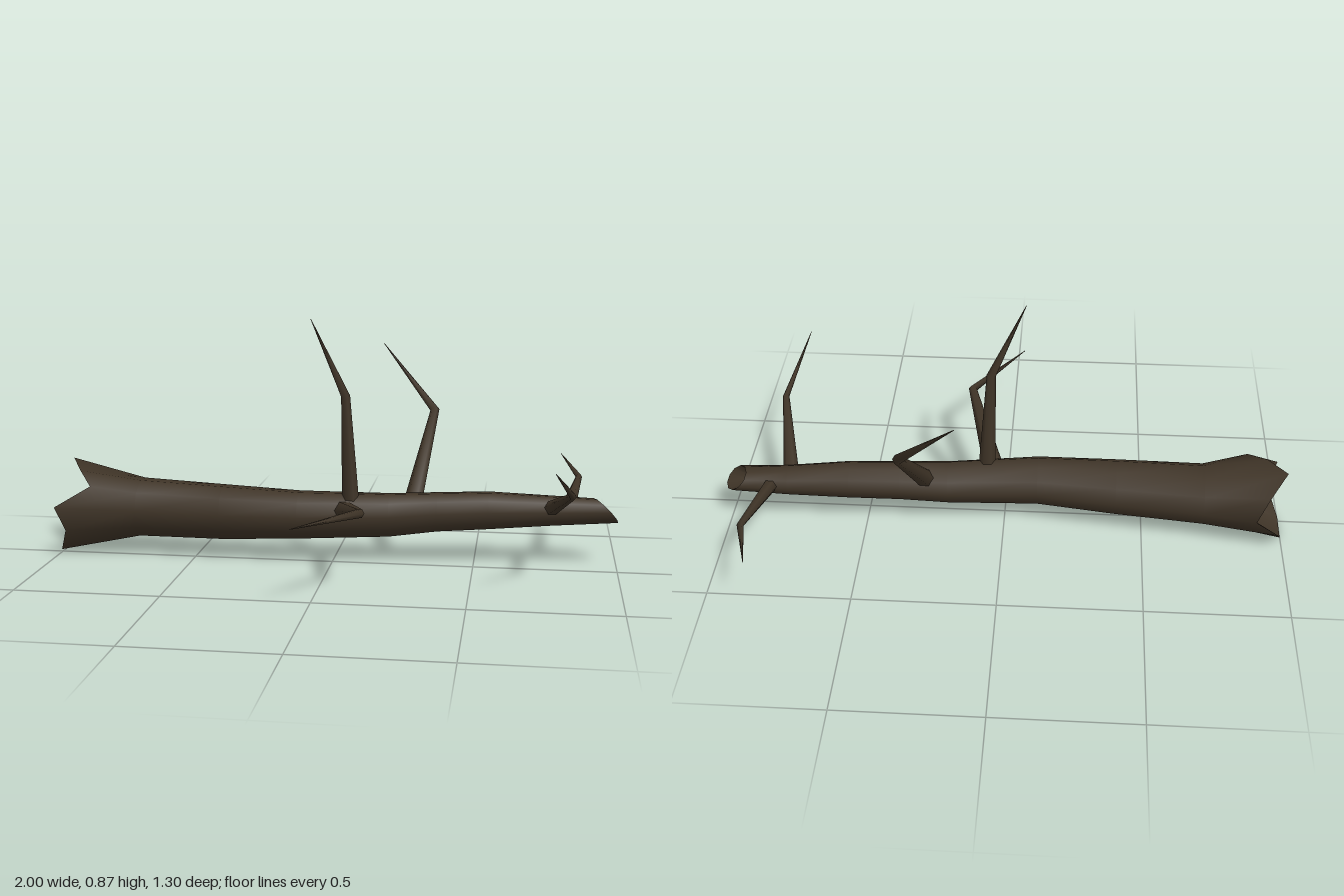
import * as THREE from 'three';

const SIDES = 10;
const V = (x, y, z) => new THREE.Vector3(x, y, z);
const trunkAngle = (k) => THREE.MathUtils.degToRad(112 - 36 * k);

// Skin a list of rings (equal point counts) with smooth normals
function loft(rings) {
  const n = rings[0].length;
  const index = [];
  for (let i = 0; i < rings.length - 1; i++) {
    for (let j = 0; j < n; j++) {
      const a = i * n + j, b = i * n + (j + 1) % n;
      index.push(a, b, a + n, b, b + n, a + n);
    }
  }
  const geo = new THREE.BufferGeometry().setFromPoints(rings.flat());
  geo.setIndex(index);
  geo.computeVertexNormals();
  return geo;
}

// Trunk cross-section in the yz plane; slant moves each point along x
function trunkRing(x, y, z, ry, rz, slant = () => 0) {
  return Array.from({ length: SIDES }, (_, k) => {
    const a = trunkAngle(k);
    return V(x + slant(a), y + ry * Math.sin(a), z + rz * Math.cos(a));
  });
}

// Two-segment tapering branch: base, bend, pointed tip
function branchGeometry(base, bend, tip, r0, r1) {
  const points = [base, bend, tip];
  const radii = [r0, r1, 0.001];
  const rings = points.map((p, i) => {
    const dir = points[Math.min(i + 1, 2)].clone().sub(points[Math.max(i - 1, 0)]).normalize();
    const u = V(1, 0, 0).addScaledVector(dir, -dir.x).normalize();
    const v = dir.clone().cross(u);
    return Array.from({ length: 6 }, (_, k) => {
      const a = (k / 6) * Math.PI * 2;
      return p.clone()
        .addScaledVector(u, radii[i] * Math.cos(a))
        .addScaledVector(v, radii[i] * Math.sin(a));
    });
  });
  return loft(rings);
}

export function createModel() {
  const group = new THREE.Group();
  group.name = 'fallenLog';
  const bark = new THREE.MeshStandardMaterial({ color: 0x3f3427, side: THREE.DoubleSide });
  bark.name = 'darkBark';
  const add = (name, geo) => {
    const mesh = new THREE.Mesh(geo, bark);
    mesh.name = name;
    group.add(mesh);
  };

  // Splintered wide end, with notches at the front and back
  const brokenEnd = [
    V(-0.99, 0.325, -0.13), V(-0.93, 0.30, -0.02), V(-0.87, 0.26, 0.06), V(-0.99, 0.19, 0.11),
    V(-0.96, 0.10, 0.08), V(-1, 0.01, 0.01), V(-1, 0, -0.09), V(-0.98, 0.08, -0.175),
    V(-0.89, 0.17, -0.215), V(-0.93, 0.265, -0.2),
  ];
  // Narrow end cut at a slant
  const cutEnd = trunkRing(0.96, 0.195, -0.105, 0.042, 0.05,
    (a) => -0.038 * Math.sin(a) + 0.02 * Math.cos(a));

  // Trunk: x, centre y, centre z, radius y, radius z
  const sections = [
    [-0.71, 0.165, -0.057, 0.107, 0.112],
    [-0.40, 0.162, -0.033, 0.100, 0.100],
    [-0.12, 0.165, -0.016, 0.087, 0.087],
    [0.20, 0.167, -0.048, 0.079, 0.072],
    [0.37, 0.180, -0.065, 0.071, 0.068],
    [0.55, 0.188, -0.080, 0.068, 0.066],
    [0.77, 0.190, -0.098, 0.054, 0.054],
  ];
  add('trunk', loft([brokenEnd, ...sections.map((s) => trunkRing(...s)), cutEnd]));

  // Hollows inside both ends
  add('brokenEndHollow', loft([trunkRing(-0.74, 0.165, -0.057, 0.002, 0.002), brokenEnd]));
  add('cutEndHollow', loft([cutEnd, trunkRing(0.88, 0.19, -0.105, 0.002, 0.002)]));

  // Bare branches: name, base, bend, tip, base radius, bend radius
  const branches = [
    ['topBranch', V(0.065, 0.18, -0.015), V(0.048, 0.6, 0.008), V(-0.07, 0.87, 0.035), 0.032, 0.016],
    ['backMiddleBranch', V(0.275, 0.19, -0.07), V(0.335, 0.5, -0.352), V(0.13, 0.73, -0.485), 0.034, 0.017],
    ['frontMiddleBranch', V(0.035, 0.185, -0.01), V(0.145, 0.274, 0.385), V(-0.04, 0.28, 0.65), 0.038, 0.016],
    ['frontTipBranch', V(0.765, 0.2, -0.08), V(0.832, 0.318, 0.235), V(0.77, 0.445, 0.485), 0.028, 0.012],
    ['backTipBranch', V(0.825, 0.19, -0.11), V(0.873, 0.247, -0.42), V(0.81, 0.29, -0.65), 0.027, 0.012],
  ];
  for (const [name, ...args] of branches) add(name, branchGeometry(...args));

  return group;
}
